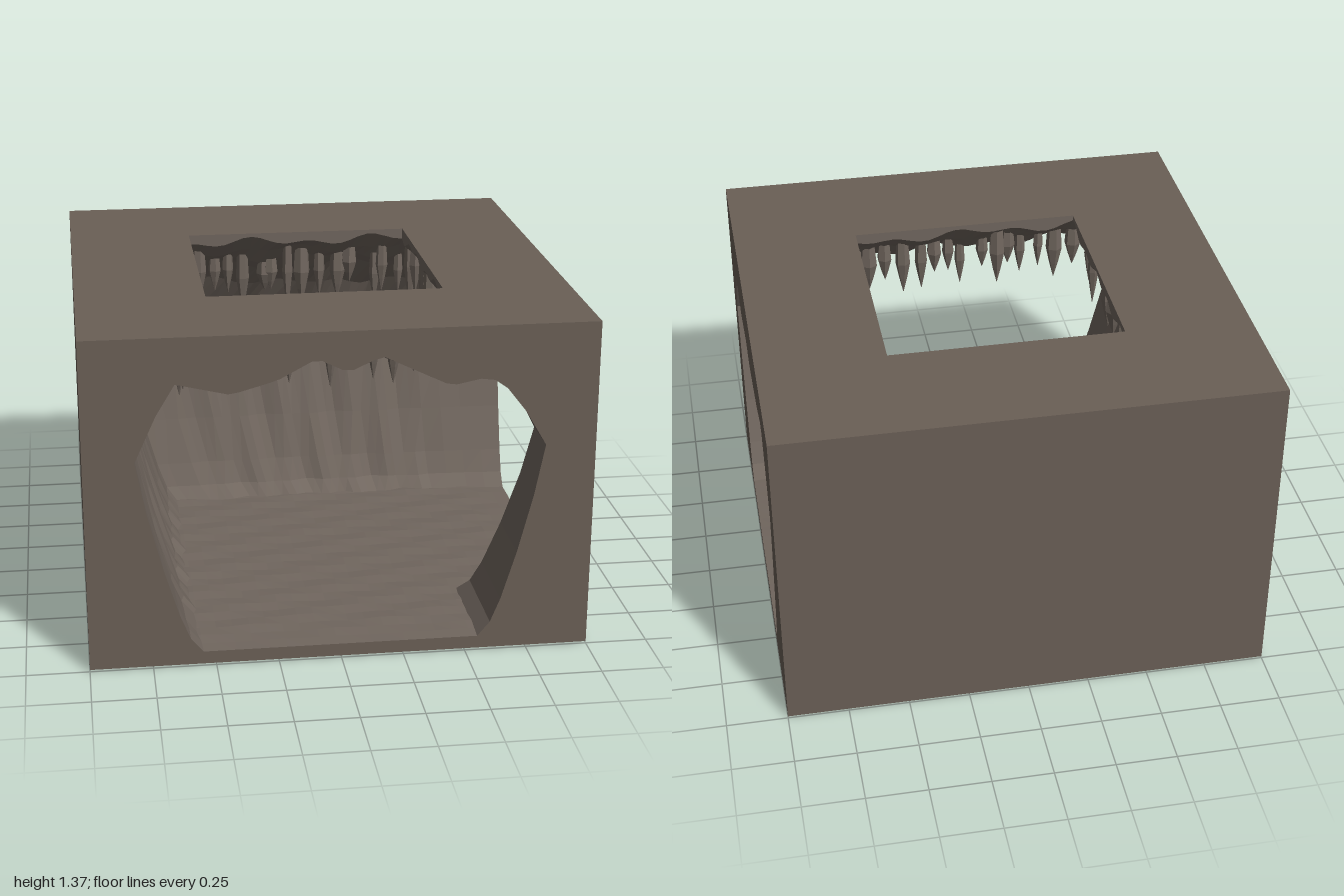
import * as THREE from 'three';
import { mergeGeometries } from 'three/addons/utils/BufferGeometryUtils.js';

const TOP = 1.365, BASE = 0.008, FLOOR = 0.06, HOLE = 0.48, EDGE = 0.64;

// Wall section: distance from the centre and height, floor to crease
const LOWER = [[0.55, FLOOR], [0.6, 0.12], [0.64, 0.22], [0.7, 0.42], [0.76, 0.66]];

// Grid lines shared by ceiling, walls and openings
const grid = [-EDGE, -0.59, -0.535];
for (let i = -12; i <= 12; i++) grid.push(i * 0.04);
grid.push(0.535, 0.59, EDGE, 0.73, 0.82, 0.91, 1);
const span = grid.filter((c) => c <= EDGE);
const tail = grid.filter((c) => c >= EDGE);

// Piecewise linear curve through [position, value] pairs
const curve = (pts) => (x) => {
  if (x <= pts[0][0]) return pts[0][1];
  for (let i = 1; i < pts.length; i++) {
    const [a, va] = pts[i - 1], [b, vb] = pts[i];
    if (x <= b) return va + ((vb - va) * (x - a)) / (b - a);
  }
  return pts[pts.length - 1][1];
};
const frontTop = curve([[-0.64, 1.18], [-0.43, 1.13], [-0.25, 1.18], [-0.1, 1.26], [0.02, 1.2],
  [0.15, 1.26], [0.42, 1.13], [0.57, 1.16], [0.64, 1.11]]);
// position here is -z
const sideTop = curve([[-0.64, 1.13], [-0.4, 1.07], [-0.12, 1.11], [0, 1.08], [0.1, 1.09],
  [0.4, 1.13], [0.6, 1.19], [0.64, 1.17]]);
const backCrease = curve([[-0.72, 0.98], [-0.5, 1.03], [-0.2, 0.92], [0, 0.94], [0.2, 0.88],
  [0.35, 0.86], [0.5, 0.93], [0.7, 0.88], [1, 0.87]]);
const leftCrease = curve([[-0.72, 0.98], [-0.5, 1.03], [-0.2, 0.93], [-0.05, 0.87], [0.1, 0.87],
  [0.3, 0.92], [0.45, 0.87], [0.7, 0.88], [1, 0.87]]);

const clamp = (v) => Math.min(1, Math.max(0, v));
const noise = (a, b) => Math.sin(a * 17.3 + b * 9.1) * Math.sin(b * 21.7 - a * 6.3 + 1.2);

// Ceiling height: domed up to the skylight, blending into both openings
function ceilingY(x, z) {
  const wz = clamp((z - EDGE) / (1 - EDGE)), wx = clamp((x - EDGE) / (1 - EDGE));
  const d = clamp((Math.max(Math.abs(x), Math.abs(z)) - HOLE) / (EDGE - HOLE));
  const inner = 1.325 - 0.15 * d + 0.025 * noise(x, z);
  return inner + wz * (frontTop(x) - inner) + wx * (sideTop(-z) - inner);
}

const wallSection = (crease, top) => [...LOWER, [0.8, crease], [0.715, crease + (top - crease) * 0.6], [EDGE, top]];

// Faceted sheet from rows of [x, y, z] points; skip(i, j) leaves cells out
function sheet(rows, skip = () => false) {
  const pos = [];
  for (let i = 0; i + 1 < rows.length; i++) {
    for (let j = 0; j + 1 < rows[i].length; j++) {
      if (skip(i, j)) continue;
      const a = rows[i][j], b = rows[i][j + 1], c = rows[i + 1][j + 1], d = rows[i + 1][j];
      pos.push(...a, ...b, ...c, ...a, ...c, ...d);
    }
  }
  const g = new THREE.BufferGeometry();
  g.setAttribute('position', new THREE.Float32BufferAttribute(pos, 3));
  g.computeVertexNormals();
  return g;
}

// Outer face with a cave mouth cut through it
function mouthFace(topCurve) {
  const s = new THREE.Shape([[-1, BASE], [1, BASE], [1, TOP], [-1, TOP]].map((p) => new THREE.Vector2(...p)));
  const left = wallSection(0.87, topCurve(-EDGE)).map(([w, y]) => new THREE.Vector2(-w, y));
  const right = wallSection(0.87, topCurve(EDGE)).map(([w, y]) => new THREE.Vector2(w, y));
  const mid = span.slice(1, -1).map((u) => new THREE.Vector2(u, topCurve(u)));
  s.holes.push(new THREE.Path([...left, ...mid, ...right.reverse()]));
  return new THREE.ShapeGeometry(s);
}

// Long wall running from the closed corner out to an opening
function longWall(crease, top, place) {
  return sheet(grid.map((c) => {
    const t = (c + EDGE) / (1 + EDGE);
    const fade = 4 * t * (1 - t);
    return wallSection(crease(c), top(c)).map(([w, y], k) => {
      const flute = k === 7 ? 0 : fade * 0.016 * (1 + noise(c * 1.7, k * 0.04));
      return place(w + flute, y, -w + t * (1 + w));
    });
  }));
}

// Short wall of the corner pillar
function pillarWall(top, place) {
  return sheet(tail.map((c) => {
    const t = (c - EDGE) / (1 - EDGE);
    return wallSection(0.87, top(c)).map(([w, y]) => place(w, y, w + t * (1 - w)));
  }));
}

export function createModel() {
  const model = new THREE.Group();
  const outerRock = new THREE.MeshStandardMaterial({ color: 0x6a5f56 });
  outerRock.name = 'outer rock';
  const caveRock = new THREE.MeshStandardMaterial({ color: 0x70665e, side: THREE.DoubleSide, flatShading: true });
  caveRock.name = 'cave rock';
  const add = (name, geometry, material) => {
    const m = new THREE.Mesh(geometry, material);
    m.name = name;
    model.add(m);
    return m;
  };

  // Outer block
  add('frontFace', mouthFace(frontTop).translate(0, 0, 1), outerRock);
  add('rightFace', mouthFace(sideTop).rotateY(Math.PI / 2).translate(1, 0, 0), outerRock);
  const plain = () => new THREE.PlaneGeometry(2, TOP - BASE).translate(0, (TOP + BASE) / 2, 1);
  add('backFace', plain().rotateY(Math.PI), outerRock);
  add('leftFace', plain().rotateY(-Math.PI / 2), outerRock);
  add('underside', new THREE.PlaneGeometry(2, 2).rotateX(Math.PI / 2).translate(0, BASE, 0), outerRock);
  add('basePlate', new THREE.BoxGeometry(1.93, BASE, 1.93).translate(0, BASE / 2, 0), outerRock);

  // Top with a square skylight
  const square = (r) => [[-r, -r], [r, -r], [r, r], [-r, r]].map((p) => new THREE.Vector2(...p));
  const topShape = new THREE.Shape(square(1));
  topShape.holes.push(new THREE.Path(square(HOLE)));
  add('topFace', new THREE.ShapeGeometry(topShape).rotateX(-Math.PI / 2).translate(0, TOP, 0), outerRock);

  // Skylight rim, from the ceiling up to the top
  const rimLine = grid.filter((c) => Math.abs(c) < HOLE + 0.001);
  const rims = [-HOLE, HOLE].flatMap((e) => [
    sheet(rimLine.map((c) => [[e, ceilingY(e, c), c], [e, TOP, c]])),
    sheet(rimLine.map((c) => [[c, ceilingY(c, e), e], [c, TOP, e]])),
  ]);
  add('skylightRim', mergeGeometries(rims), caveRock);

  // Ceiling around the skylight
  const centre = (i) => (grid[i] + grid[i + 1]) / 2;
  add('ceiling', sheet(grid.map((x) => grid.map((z) => [x, ceilingY(x, z), z])), (i, j) => {
    const x = centre(i), z = centre(j);
    return Math.max(Math.abs(x), Math.abs(z)) < HOLE || Math.min(x, z) > EDGE;
  }), caveRock);

  // Cave walls and the corner pillar
  add('leftWall', longWall(leftCrease, (c) => ceilingY(-EDGE, c), (w, y, s) => [-w, y, s]), caveRock);
  add('backWall', longWall(backCrease, (c) => ceilingY(c, -EDGE), (w, y, s) => [s, y, -w]), caveRock);
  add('pillarFrontPassage', pillarWall((c) => ceilingY(EDGE, c), (w, y, s) => [w, y, s]), caveRock);
  add('pillarSidePassage', pillarWall((c) => ceilingY(c, EDGE), (w, y, s) => [s, y, w]), caveRock);

  // Uneven floor, level at both openings
  const floorLine = Array.from({ length: 25 }, (_, i) => -0.62 + (1.62 * i) / 24);
  add('floor', sheet(floorLine.map((x) => floorLine.map((z) => {
    const fade = clamp((1 - x) * 5) * clamp((1 - z) * 5);
    return [x, FLOOR + fade * (0.005 + 0.006 * noise(x, z)), z];
  }))), caveRock);

  // Stalactites hanging round the skylight
  let seed = 7;
  const rand = () => (seed = (seed * 16807) % 2147483647) / 2147483647;
  const cones = [];
  for (let side = 0; side < 4; side++) {
    for (let i = 0; i < 17; i++) {
      const s = -0.6 + (1.2 * (i + rand() * 0.8)) / 17;
      const d = 0.535 + rand() * 0.075, r = 0.022 + rand() * 0.018;
      const x = [s, d, s, -d][side], z = [d, s, -d, s][side];
      const root = Math.min(ceilingY(x, z) + 0.02, TOP - 0.01);
      const len = root - (0.97 + rand() * 0.14);
      const profile = [[0.001, -len], [r * 0.55, -len * 0.72], [r, -len * 0.42], [r * 0.8, 0]]
        .map((p) => new THREE.Vector2(...p));
      cones.push(new THREE.LatheGeometry(profile, 6).rotateY(rand() * 6).translate(x, root, z));
    }
  }
  add('stalactites', mergeGeometries(cones), caveRock);

  return model;
}
